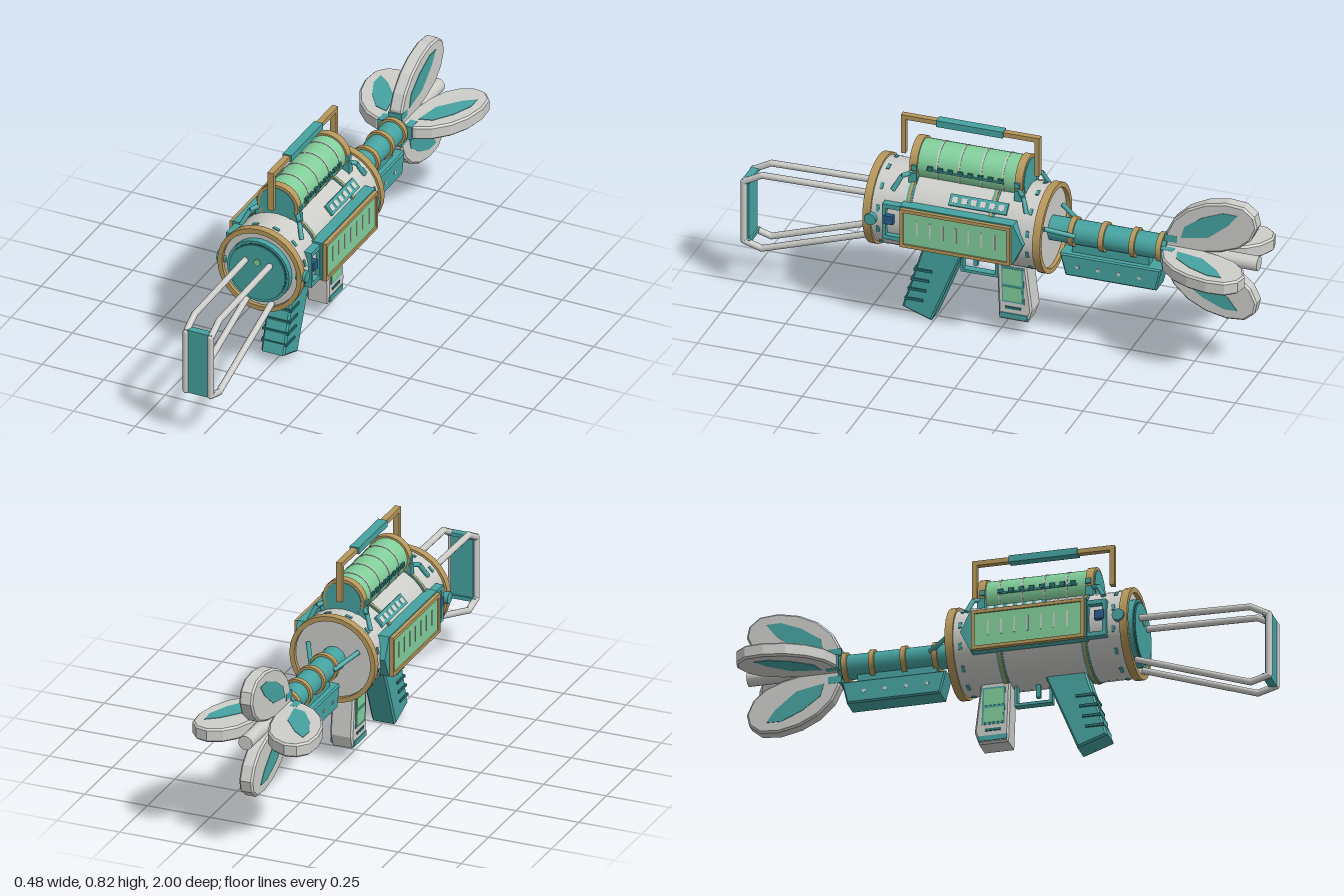
import * as THREE from 'three';
import { toCreasedNormals } from 'three/addons/utils/BufferGeometryUtils.js';

const mat = (name, color) => new THREE.MeshStandardMaterial({ name, color });

export function createModel() {
  const teal = mat('teal', 0x45a3a1), white = mat('offWhite', 0xcdcdca), gold = mat('gold', 0xb6985c);
  const green = mat('green', 0x82cf9b), dark = mat('darkTeal', 0x27706f), blue = mat('blue', 0x2b5c8c);
  const model = new THREE.Group();
  const CY = 0.456; // height of the main axis

  const add = (name, geo, m, parent = model) => {
    const mesh = new THREE.Mesh(geo, m);
    mesh.name = name;
    parent.add(mesh);
    return mesh;
  };
  const group = (name, parent = model) => {
    const g = new THREE.Group();
    g.name = name;
    parent.add(g);
    return g;
  };
  const box = (name, m, w, h, d, x, y, z, p) =>
    add(name, new THREE.BoxGeometry(w, h, d).translate(x, y, z), m, p);
  // Cylinder along z between two depths
  const cyl = (name, m, r, z0, z1, y = CY, sides = 28, p = model) =>
    add(name, new THREE.CylinderGeometry(r, r, z1 - z0, sides).rotateX(Math.PI / 2).translate(0, y, (z0 + z1) / 2), m, p);
  // Rectangular-section ring around z
  const ring = (name, m, ri, ro, z0, z1, y = CY, p = model) => {
    const pts = [[ri, z0], [ro, z0], [ro, z1], [ri, z1], [ri, z0]].map(a => new THREE.Vector2(...a));
    const g = toCreasedNormals(new THREE.LatheGeometry(pts, 28), 0.6);
    return add(name, g.rotateX(Math.PI / 2).translate(0, y, 0), m, p);
  };
  // Round bar between two points
  const rod = (name, m, a, b, r, p, sides = 10) => {
    const A = new THREE.Vector3(...a), B = new THREE.Vector3(...b), d = B.clone().sub(A);
    const mesh = add(name, new THREE.CylinderGeometry(r, r, d.length(), sides), m, p);
    mesh.position.copy(A).add(B).multiplyScalar(0.5);
    mesh.quaternion.setFromUnitVectors(new THREE.Vector3(0, 1, 0), d.normalize());
    return mesh;
  };
  // Side profile of [z, y] points, extruded across x
  const slab = (name, m, pts, w, x = 0, p = model, bevel = 0, hole = null) => {
    const s = new THREE.Shape(pts.map(a => new THREE.Vector2(...a)));
    if (hole) s.holes.push(new THREE.Path(hole.map(a => new THREE.Vector2(...a))));
    const g = new THREE.ExtrudeGeometry(s, {
      depth: w - 2 * bevel, bevelEnabled: bevel > 0, bevelSize: bevel,
      bevelThickness: bevel, bevelOffset: -bevel, bevelSegments: 1,
    });
    return add(name, g.translate(0, 0, -w / 2 + bevel).rotateY(-Math.PI / 2).translate(x, 0, 0), m, p);
  };
  const rect = (z0, z1, y0, y1) => [[z0, y0], [z1, y0], [z1, y1], [z0, y1]];

  // Main body and its end rings
  cyl('body', white, 0.162, -0.195, 0.465);
  ring('frontRing', gold, 0.152, 0.171, 0.45, 0.48);
  ring('backRing', gold, 0.152, 0.171, -0.21, -0.18);
  for (const z of [0.31, -0.01]) {
    ring('bodyBand', teal, 0.15, 0.165, z - 0.012, z + 0.012);
    ring('bodyBandTrim', gold, 0.15, 0.167, z - 0.005, z + 0.005);
  }
  cyl('frontDisc', teal, 0.126, 0.46, 0.49);
  ring('frontDiscRim', dark, 0.112, 0.117, 0.48, 0.492);
  cyl('frontDiscCentre', teal, 0.112, 0.48, 0.496);
  cyl('frontLight', green, 0.014, 0.49, 0.501, 0.498, 10);

  // Small markers around both ends of the body
  const markers = group('bodyMarkers');
  for (const z of [0.425, -0.155]) for (let i = 0; i < 12; i++) {
    const h = group('marker', markers);
    h.position.y = CY;
    h.rotation.z = (i + 0.5) * Math.PI / 6;
    box('markerPlate', teal, 0.008, 0.025, 0.012, 0.161, 0, z, h);
  }

  // Barrel with gold hoops
  cyl('barrel', teal, 0.047, -0.65, -0.19, CY, 20);
  for (const z of [-0.283, -0.402, -0.522, -0.625]) ring('barrelHoop', gold, 0.03, 0.056, z - 0.01, z + 0.01);
  for (const s of [1, -1]) rod('barrelStrut', teal, [s * 0.1, 0.5, -0.2], [s * 0.045, 0.46, -0.3], 0.009);

  // Block under the barrel
  slab('underBarrelBlock', teal, [[-0.24, 0.38], [-0.635, 0.38], [-0.615, 0.292], [-0.262, 0.292]].reverse(), 0.09, 0, model, 0.006);
  box('underBarrelMount', teal, 0.04, 0.06, 0.3, 0, 0.4, -0.43);
  for (const z of [-0.31, -0.39, -0.47, -0.55]) box('blockBolt', white, 0.094, 0.012, 0.012, 0, 0.335, z);

  // Muzzle: central pin and four petals
  cyl('muzzlePin', white, 0.028, -1, -0.64, CY, 12);
  const petalShape = [[-0.645, 0.02], [-0.648, 0.08], [-0.675, 0.135], [-0.73, 0.187], [-0.8, 0.222], [-0.88, 0.239],
    [-0.95, 0.233], [-0.99, 0.2], [-1, 0.155], [-0.975, 0.1], [-0.93, 0.06], [-0.86, 0.033], [-0.75, 0.012]];
  const inlayShape = [[-0.705, 0.065], [-0.72, 0.115], [-0.79, 0.165], [-0.87, 0.198], [-0.925, 0.197],
    [-0.89, 0.15], [-0.81, 0.085]];
  for (let k = 0; k < 4; k++) {
    const p = group('petal');
    p.position.y = CY;
    p.rotation.z = k * Math.PI / 2;
    slab('petalBlade', white, petalShape, 0.054, 0, p, 0.007);
    slab('petalInlay', teal, inlayShape, 0.058, 0, p);
    box('petalClamp', teal, 0.055, 0.028, 0.05, 0, 0.055, -0.665, p);
  }

  // Glass tank on top
  const tank = group('tank'), TY = 0.652;
  cyl('tankGlass', green, 0.076, -0.09, 0.31, TY, 20, tank);
  for (const z of [0.225, 0.14, 0.055, -0.03]) ring('tankLine', white, 0.07, 0.0775, z - 0.003, z + 0.003, TY, tank);
  for (const [z0, z1] of [[0.3, 0.33], [-0.11, -0.08]]) {
    ring('tankEndRing', gold, 0.066, 0.083, z0, z1, TY, tank);
    cyl('tankEndCap', teal, 0.072, z0 - 0.003, z1 + 0.003, TY, 20, tank);
    box('tankSaddle', teal, 0.18, 0.045, 0.03, 0, 0.608, (z0 + z1) / 2, tank);
  }
  for (const s of [1, -1]) {
    box('tankRail', teal, 0.008, 0.007, 0.3, s * 0.077, 0.648, 0.115, tank);
    for (let i = 0; i < 8; i++) box('tankRailTooth', dark, 0.008, 0.016, 0.02, s * 0.079, 0.655, 0.25 - i * 0.039, tank);
    for (const [z, d] of [[0.31, 0.07], [-0.09, -0.05]]) {
      box('tankClip', teal, 0.012, 0.02, 0.02, s * 0.084, 0.652, z, tank);
      rod('tankLeg', teal, [s * 0.07, 0.63, z], [s * 0.1, 0.618, z + d * 0.6], 0.009, tank);
      rod('tankLeg', teal, [s * 0.1, 0.618, z + d * 0.6], [s * 0.123, 0.565, z + d], 0.009, tank);
    }
  }

  // Carry handle
  const handle = group('carryHandle');
  for (const z of [0.38, -0.14]) box('handlePost', gold, 0.024, 0.158, 0.018, 0, 0.741, z, handle);
  box('handleBar', gold, 0.024, 0.018, 0.538, 0, 0.811, 0.12, handle);
  box('handleGrip', teal, 0.036, 0.026, 0.26, 0, 0.811, 0.12, handle);

  // Side panels, ladder strips and knobs
  for (const s of [1, -1]) {
    const p = group(s > 0 ? 'leftPanel' : 'rightPanel');
    slab('panelBacking', teal, [[0.33, 0.38], [0.33, 0.538], [-0.11, 0.538], [-0.148, 0.459], [-0.11, 0.38]].reverse(), 0.06, s * 0.152, p);
    slab('panelBracket', teal, rect(0.31, 0.402, 0.385, 0.53), 0.04, s * 0.154, p, 0, rect(0.335, 0.388, 0.402, 0.513));
    box('panelButton', blue, 0.03, 0.034, 0.036, s * 0.165, 0.468, 0.377, p);
    slab('panelFrame', gold, rect(-0.103, 0.325, 0.377, 0.533), 0.018, s * 0.188, p, 0, rect(-0.09, 0.312, 0.39, 0.52));
    box('panelScreen', green, 0.012, 0.134, 0.406, s * 0.185, 0.455, 0.111, p);
    for (let i = 0; i < 7; i++) box('screenMark', white, 0.004, 0.06, 0.006, s * 0.191, 0.46, 0.26 - i * 0.05, p);

    const l = group('ladderStrip', p);
    l.position.y = CY;
    l.rotation.z = s > 0 ? 0.74 : Math.PI - 0.74;
    box('ladderPlate', teal, 0.014, 0.044, 0.225, 0.163, 0, 0.045, l);
    for (let i = 0; i < 6; i++) box('ladderWindow', white, 0.004, 0.022, 0.022, 0.1695, 0, 0.135 - i * 0.036, l);
    rod('sideKnob', teal, [s * 0.14, 0.458, 0.448], [s * 0.18, 0.458, 0.448], 0.023, p, 12);
  }

  // Shoulder stock
  const stock = group('stock');
  const path = [[0.48, 0.495], [0.915, 0.488], [0.985, 0.45], [0.985, 0.205], [0.915, 0.185], [0.48, 0.33]];
  for (const x of [0.05, -0.05]) path.forEach(([z, y], i) => {
    if (i < 5) rod('stockBar', white, [x, y, z], [x, path[i + 1][1], path[i + 1][0]], 0.0125, stock);
    if (i > 0 && i < 5) add('stockElbow', new THREE.SphereGeometry(0.0125, 10, 8).translate(x, y, z), white, stock);
  });
  box('buttPlate', teal, 0.09, 0.25, 0.022, 0, 0.328, 0.979, stock);
  for (const y of [0.455, 0.205]) box('buttPlateEdge', teal, 0.112, 0.014, 0.03, 0, y, 0.975, stock);

  // Pistol grip with ridges
  slab('pistolGrip', teal, [[0.29, 0.31], [0.372, 0.045], [0.258, 0.005], [0.135, 0.31]].reverse(), 0.096, 0, model, 0.007);
  for (let i = 0; i < 4; i++) {
    const y = 0.085 + i * 0.042, z = 0.325 - i * 0.012;
    box('gripRidge', dark, 0.106, 0.01, 0.07, 0, y, z);
  }

  // Trigger and guard
  slab('triggerGuard', teal, rect(0.012, 0.155, 0.215, 0.31), 0.03, 0, model, 0, rect(0.022, 0.145, 0.226, 0.305));
  box('trigger', teal, 0.016, 0.06, 0.016, 0, 0.275, 0.1);

  // Front hand grip with green inlay
  slab('handGrip', white, [[0.005, 0.31], [-0.004, 0.065], [-0.115, 0.065], [-0.132, 0.115], [-0.108, 0.31]], 0.09, 0, model, 0.007);
  slab('handGripFrame', teal, [[-0.014, 0.288], [-0.018, 0.14], [-0.104, 0.14], [-0.1, 0.288]], 0.094);
  slab('handGripInlay', green, [[-0.02, 0.205], [-0.023, 0.147], [-0.097, 0.147], [-0.094, 0.205]], 0.098);
  slab('handGripInlay', green, [[-0.02, 0.28], [-0.02, 0.215], [-0.094, 0.215], [-0.094, 0.28]], 0.098);
  box('handGripSlot', dark, 0.096, 0.01, 0.06, 0, 0.118, -0.06);
  box('handGripFoot', teal, 0.097, 0.02, 0.108, 0, 0.085, -0.062);

  return model;
}
